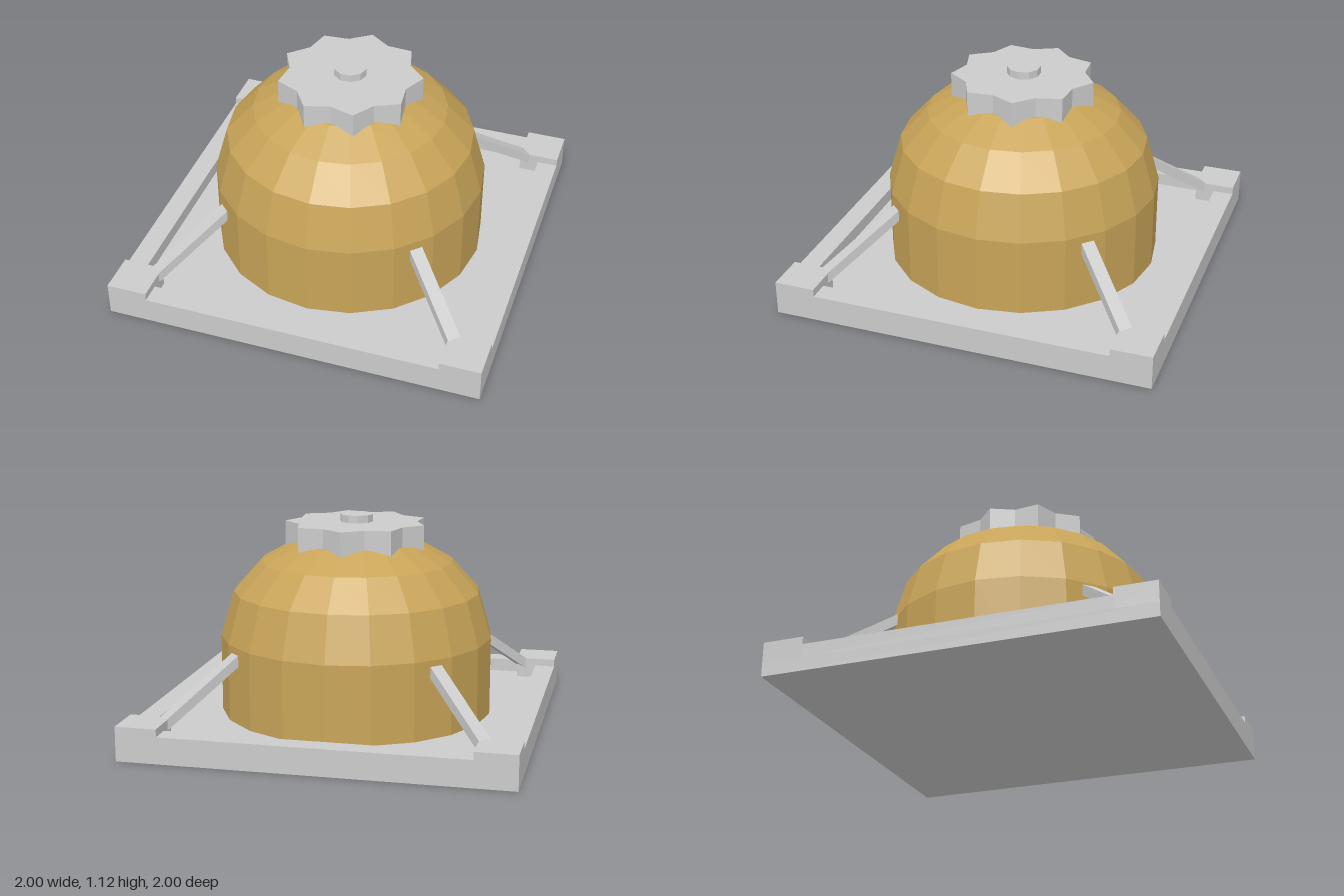
import * as THREE from 'three';

export function createModel() {
  const model = new THREE.Group();
  const grey = new THREE.MeshStandardMaterial({ color: 0xcccccc, flatShading: true });
  const gold = new THREE.MeshStandardMaterial({ color: 0xc8a458, flatShading: true });

  const add = (name, geometry, material = grey, parent = model) => {
    const mesh = new THREE.Mesh(geometry, material);
    mesh.name = name;
    parent.add(mesh);
    return mesh;
  };

  // Square base plate: the floor of the tray
  const floor = 0.07;
  add('basePlate', new THREE.BoxGeometry(2, floor, 2).translate(0, floor / 2, 0));

  // Strut outline in its radial plane: leans from the dome down into a corner block
  const strutShape = new THREE.Shape([
    [0.74, 0.395], [1.15, 0.12], [1.15, 0.18], [0.74, 0.455],
  ].map(([r, y]) => new THREE.Vector2(r, y)));
  const strutWidth = 0.07;
  const strutGeometry = new THREE.ExtrudeGeometry(strutShape, { depth: strutWidth, bevelEnabled: false })
    .translate(0, 0, -strutWidth / 2)
    .rotateY(-Math.PI / 4);

  // Each quarter: one rim wall, one raised corner block and one strut
  const inner = 0.785, rimInner = 0.89, rimTop = 0.14, blockTop = 0.18;
  const rimGeometry = new THREE.BoxGeometry(inner * 2, rimTop - floor, 1 - rimInner)
    .translate(0, (rimTop + floor) / 2, (1 + rimInner) / 2);
  const blockGeometry = new THREE.BoxGeometry(1 - inner, blockTop - floor, 1 - inner)
    .translate((1 + inner) / 2, (blockTop + floor) / 2, (1 + inner) / 2);
  for (let i = 0; i < 4; i++) {
    const quarter = new THREE.Group();
    quarter.name = 'baseQuarter' + (i + 1);
    quarter.rotation.y = i * Math.PI / 2;
    add('rimWall', rimGeometry, grey, quarter);
    add('cornerBlock', blockGeometry, grey, quarter);
    add('strut', strutGeometry, grey, quarter);
    model.add(quarter);
  }

  // Faceted dome on a straight drum
  const domeProfile = [
    [0.727, floor], [0.727, 0.48], [0.658, 0.72], [0.513, 0.88], [0.335, 0.98], [0, 1.04],
  ].map(([r, y]) => new THREE.Vector2(r, y));
  add('dome', new THREE.LatheGeometry(domeProfile, 20), gold);

  // Nine-pointed cap
  const points = [];
  for (let i = 0; i < 18; i++) {
    const r = i % 2 ? 0.32 : 0.38;
    const a = i * Math.PI / 9;
    points.push(new THREE.Vector2(r * Math.sin(a), r * Math.cos(a)));
  }
  const capBottom = 0.945, capTop = 1.085;
  const capGeometry = new THREE.ExtrudeGeometry(new THREE.Shape(points), {
    depth: capTop - capBottom, bevelEnabled: false,
  }).rotateX(-Math.PI / 2).translate(0, capBottom, 0);
  add('cap', capGeometry);

  // Small knob on top
  const knobHeight = 0.04;
  add('knob', new THREE.CylinderGeometry(0.088, 0.088, knobHeight, 10)
    .rotateY(Math.PI / 10)
    .translate(0, capTop + knobHeight / 2, 0));

  return model;
}
